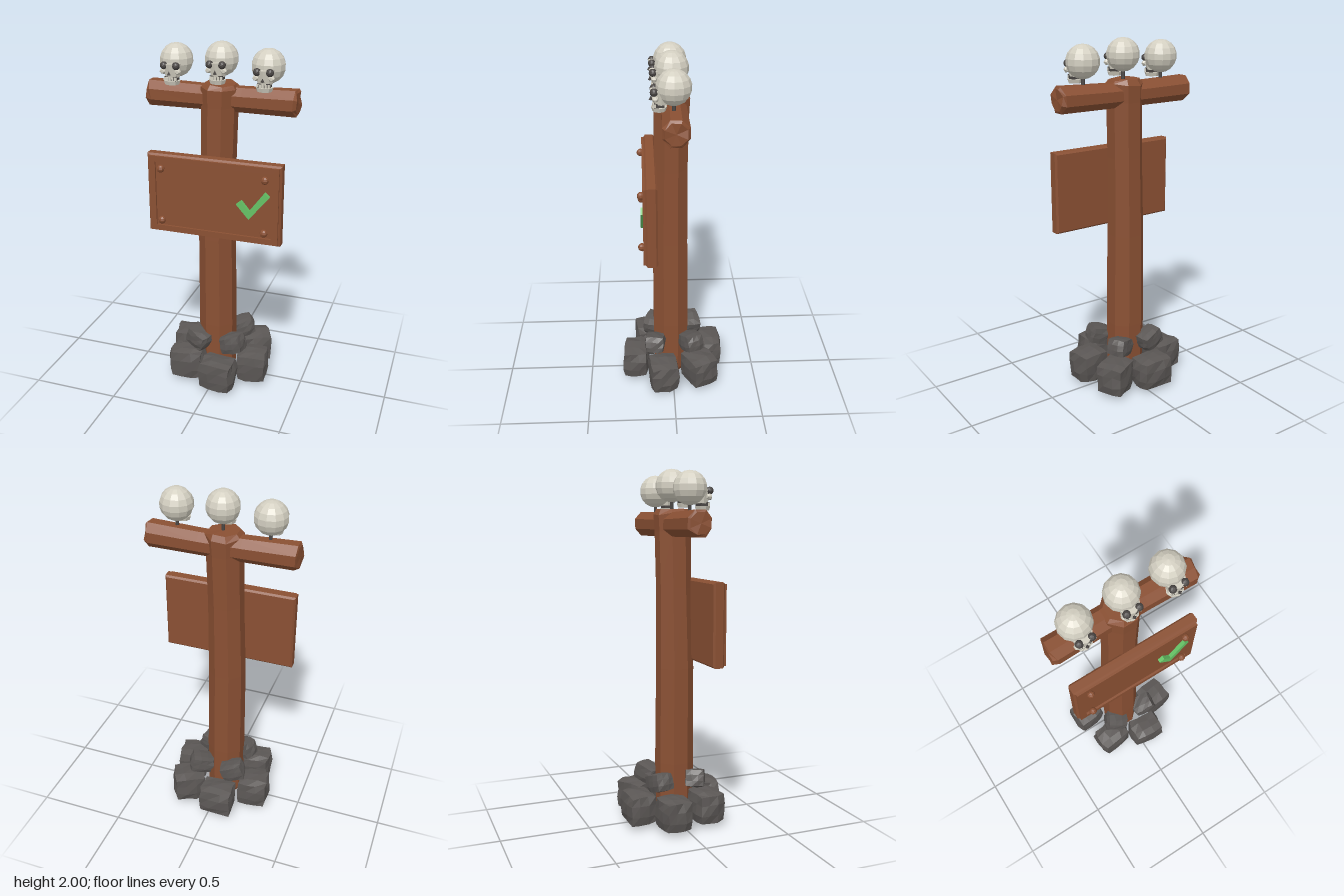
import * as THREE from 'three';

const mat = (name, color, extra = {}) => {
  const m = new THREE.MeshStandardMaterial({ color, flatShading: true, ...extra });
  m.name = name;
  return m;
};

// Repeatable noise in -1..1, equal for equal positions
const noise = (x, y, z, seed) => {
  const s = Math.sin(Math.round(x * 50) * 12.99 + Math.round(y * 50) * 78.23 + Math.round(z * 50) * 37.72 + seed * 5.31) * 43758.5;
  return 2 * (s - Math.floor(s)) - 1;
};

// Log along y from rings [x, y, z, radius, roughness]
function logGeometry(rings, sides) {
  const pos = [], index = [];
  rings.forEach(([x, y, z, r, rough = 0], k) => {
    for (let i = 0; i < sides; i++) {
      const a = (i + 0.5) / sides * Math.PI * 2;
      pos.push(x + Math.cos(a) * r * 1.05, y + noise(i, k, 0, 3) * rough, z + Math.sin(a) * r * 1.05);
    }
  });
  for (let k = 0; k < rings.length - 1; k++) {
    for (let i = 0; i < sides; i++) {
      const a = k * sides + i, b = k * sides + (i + 1) % sides;
      index.push(a, a + sides, b, b, a + sides, b + sides);
    }
  }
  const n = pos.length / 3, last = (rings.length - 1) * sides;
  const end = rings[rings.length - 1];
  pos.push(...rings[0].slice(0, 3), ...end.slice(0, 3));
  for (let i = 0; i < sides; i++) {
    const j = (i + 1) % sides;
    index.push(n, i, j, n + 1, last + j, last + i);
  }
  const g = new THREE.BufferGeometry();
  g.setAttribute('position', new THREE.Float32BufferAttribute(pos, 3));
  g.setIndex(index);
  g.computeVertexNormals();
  return g;
}

// Chunky boulder: a cube pulled halfway to a sphere and roughened
function rockGeometry(sx, sy, sz, seed) {
  const g = new THREE.BoxGeometry(2, 2, 2, 3, 3, 3);
  const p = g.attributes.position, v = new THREE.Vector3();
  for (let i = 0; i < p.count; i++) {
    v.fromBufferAttribute(p, i);
    const { x, y, z } = v;
    v.lerp(v.clone().normalize(), 0.45);
    p.setXYZ(i,
      (v.x + noise(x, y, z, seed) * 0.07) * sx,
      (v.y + noise(x, y, z, seed + 1) * 0.05) * sy,
      (v.z + noise(x, y, z, seed + 2) * 0.07) * sz);
  }
  g.computeVertexNormals();
  return g;
}

// Flat shape with a bevel, from z = 0 to depth
const rect = (w, h) => new THREE.Shape([[-w, -h], [w, -h], [w, h], [-w, h]].map(([x, y]) => new THREE.Vector2(x, y)));

export function createModel() {
  const wood = mat('wood', 0x8a5033);
  const stone = mat('stone', 0x5b5755);
  const bone = mat('bone', 0xd3cfc1);
  const dark = mat('darkSocket', 0x4a4644);
  const green = mat('greenPaint', 0x66c265);

  const model = new THREE.Group();
  model.name = 'skullSignpost';
  const add = (parent, name, geo, material, x = 0, y = 0, z = 0) => {
    const m = new THREE.Mesh(geo, material);
    m.name = name;
    m.position.set(x, y, z);
    parent.add(m);
    return m;
  };

  // Post and crossbeam
  add(model, 'post', logGeometry([
    [-0.015, 0, 0.01, 0.085], [-0.018, 0.03, 0.01, 0.1], [-0.02, 0.35, 0.01, 0.105],
    [-0.023, 0.9, 0.012, 0.101], [-0.016, 1.35, 0.008, 0.094], [-0.01, 1.66, 0.005, 0.096],
    [-0.008, 1.755, 0.004, 0.1, 0.008], [-0.005, 1.78, 0.004, 0.083, 0.006]], 8), wood);
  const beam = add(model, 'crossbeam', logGeometry([
    [0, -0.418, 0, 0.058, 0.008], [0, -0.4, 0, 0.072, 0.015], [0.004, -0.12, -0.004, 0.068],
    [0.004, 0.12, -0.004, 0.068], [0, 0.4, 0, 0.072, 0.015], [0, 0.418, 0, 0.058, 0.008]], 8), wood, 0, 1.703, -0.003);
  beam.rotation.z = -Math.PI / 2;

  // Sign board with raised frame, bolts and tick
  const sign = new THREE.Group();
  sign.name = 'sign';
  sign.position.set(0, 1.17, 0);
  model.add(sign);
  add(sign, 'board', new THREE.ExtrudeGeometry(rect(0.372, 0.219), {
    depth: 0.045, bevelThickness: 0.01, bevelSize: 0.01, bevelSegments: 1 }), wood, 0, 0, 0.1);
  const frame = rect(0.37, 0.219);
  frame.holes.push(rect(0.332, 0.186));
  add(sign, 'frame', new THREE.ExtrudeGeometry(frame, { depth: 0.014, bevelEnabled: false }), wood, 0, 0, 0.153);
  for (const x of [-0.295, 0.295]) {
    for (const y of [-0.15, 0.153]) {
      add(sign, 'bolt', new THREE.SphereGeometry(0.022, 8, 6), wood, x, y, 0.174);
    }
  }
  const tick = new THREE.Shape([[0.138, 0.0], [0.21, -0.08], [0.322, 0.058], [0.296, 0.083], [0.211, -0.032], [0.165, 0.022]]
    .map(([x, y]) => new THREE.Vector2(x, y)));
  add(sign, 'tick', new THREE.ExtrudeGeometry(tick, { depth: 0.022, bevelEnabled: false }), green, 0, 0, 0.157);

  // Skulls on pegs
  for (const [x, y] of [[-0.255, 1.888], [0, 1.91], [0.255, 1.888]]) {
    const skull = new THREE.Group();
    skull.name = 'skull';
    skull.position.set(x, y, 0.003);
    model.add(skull);
    add(skull, 'cranium', new THREE.SphereGeometry(0.091, 12, 9), bone);
    add(skull, 'peg', new THREE.CylinderGeometry(0.01, 0.01, 0.09, 6), dark, 0, -0.115, 0);
    // Upper face narrows towards the teeth
    const face = new THREE.CylinderGeometry(0.056, 0.04, 0.075, 8);
    add(skull, 'face', face, bone, 0, -0.043, 0.062);
    add(skull, 'mouthGap', new THREE.BoxGeometry(0.066, 0.03, 0.05), dark, 0, -0.088, 0.073);
    const jaw = add(skull, 'jaw', new THREE.CylinderGeometry(0.048, 0.04, 0.022, 8), bone, 0, -0.106, 0.073);
    jaw.scale.z = 0.85;
    for (let i = -2; i <= 2; i++) {
      add(skull, 'tooth', new THREE.BoxGeometry(0.011, 0.018, 0.012), bone, i * 0.0145, -0.085, 0.102 - Math.abs(i) * 0.004);
    }
    for (const s of [-1, 1]) {
      add(skull, 'eyeSocket', new THREE.IcosahedronGeometry(0.021, 1), dark, s * 0.034, -0.015, 0.098);
      add(skull, 'cheek', new THREE.IcosahedronGeometry(0.018, 0), bone, s * 0.042, -0.046, 0.092);
    }
    add(skull, 'nose', new THREE.ConeGeometry(0.011, 0.02, 4), dark, 0, -0.052, 0.113);
  }

  // Ring of boulders: x, z, half width, half depth, turn
  const ring = [
    [-0.045, -0.222, 0.11, 0.083, 0.05], [0.165, -0.155, 0.1, 0.088, 0.5], [-0.228, -0.075, 0.095, 0.086, 0.1],
    [-0.165, 0.145, 0.109, 0.083, 0.1], [0.048, 0.222, 0.108, 0.08, -0.1], [0.21, 0.06, 0.095, 0.09, 0.15]];
  ring.forEach(([x, z, w, d, turn], i) => {
    add(model, 'boulder', rockGeometry(w, 0.095, d, i * 7 + 1), stone, x, 0.106, z).rotation.y = turn;
  });
  // Small stones resting on the ring
  [[-0.105, 0.105], [0.102, 0.105], [-0.105, -0.112], [0.1, -0.108]].forEach(([x, z], i) => {
    add(model, 'smallStone', rockGeometry(0.073, 0.055, 0.06, i * 5 + 60), stone, x, 0.252, z).rotation.set(0, i * 0.3 - 0.4, x * 3);
  });

  return model;
}
